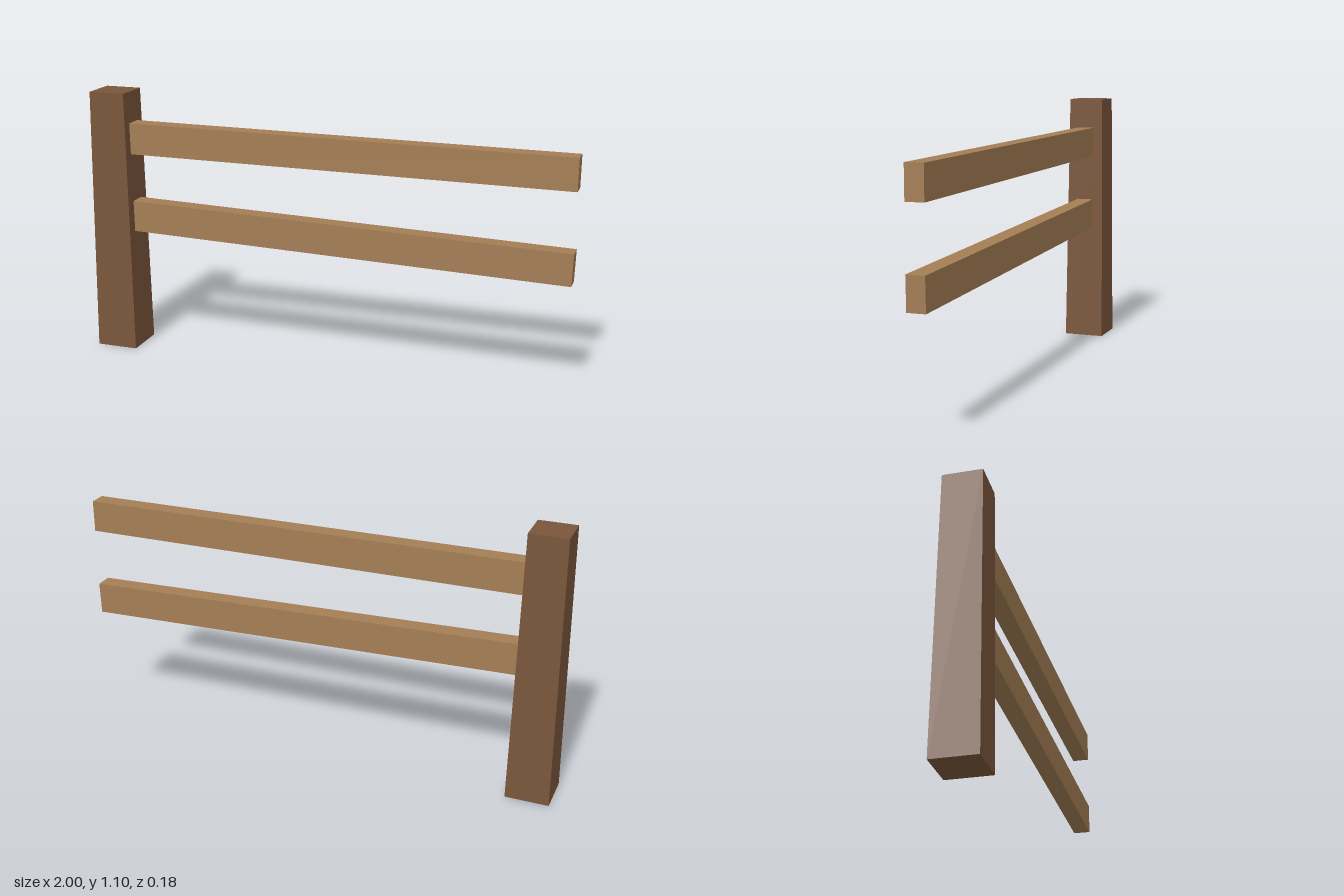
import * as THREE from 'three';

const postWood = new THREE.MeshStandardMaterial({ color: 0x7a563b });
postWood.name = 'dark post wood';
const railWood = new THREE.MeshStandardMaterial({ color: 0xa47e55 });
railWood.name = 'light rail wood';

// Square post that narrows towards the top
function makePost(bottom, top, height) {
  const geometry = new THREE.BoxGeometry(bottom, height, bottom);
  const p = geometry.attributes.position;
  for (let i = 0; i < p.count; i++) {
    if (p.getY(i) > 0) {
      p.setX(i, p.getX(i) * top / bottom);
      p.setZ(i, p.getZ(i) * top / bottom);
    }
  }
  geometry.translate(0, height / 2, 0);
  geometry.computeVertexNormals();
  const post = new THREE.Mesh(geometry, postWood);
  post.name = 'post';
  return post;
}

// Straight rail whose centre line runs between two heights
function makeRail(name, x0, y0, x1, y1) {
  const length = Math.hypot(x1 - x0, y1 - y0);
  const rail = new THREE.Mesh(new THREE.BoxGeometry(length, 0.13, 0.072), railWood);
  rail.position.set((x0 + x1) / 2, (y0 + y1) / 2, 0);
  rail.rotation.z = Math.atan2(y1 - y0, x1 - x0);
  rail.name = name;
  return rail;
}

export function createModel() {
  const fence = new THREE.Group();
  fence.name = 'fenceSection';

  const post = makePost(0.176, 0.152, 1.1);
  post.position.x = -0.912;
  fence.add(post);

  // Both rails start at the post and sag slightly at the free end
  fence.add(makeRail('upperRail', -0.836, 0.906, 0.999, 0.897));
  fence.add(makeRail('lowerRail', -0.836, 0.576, 0.998, 0.526));
  return fence;
}
